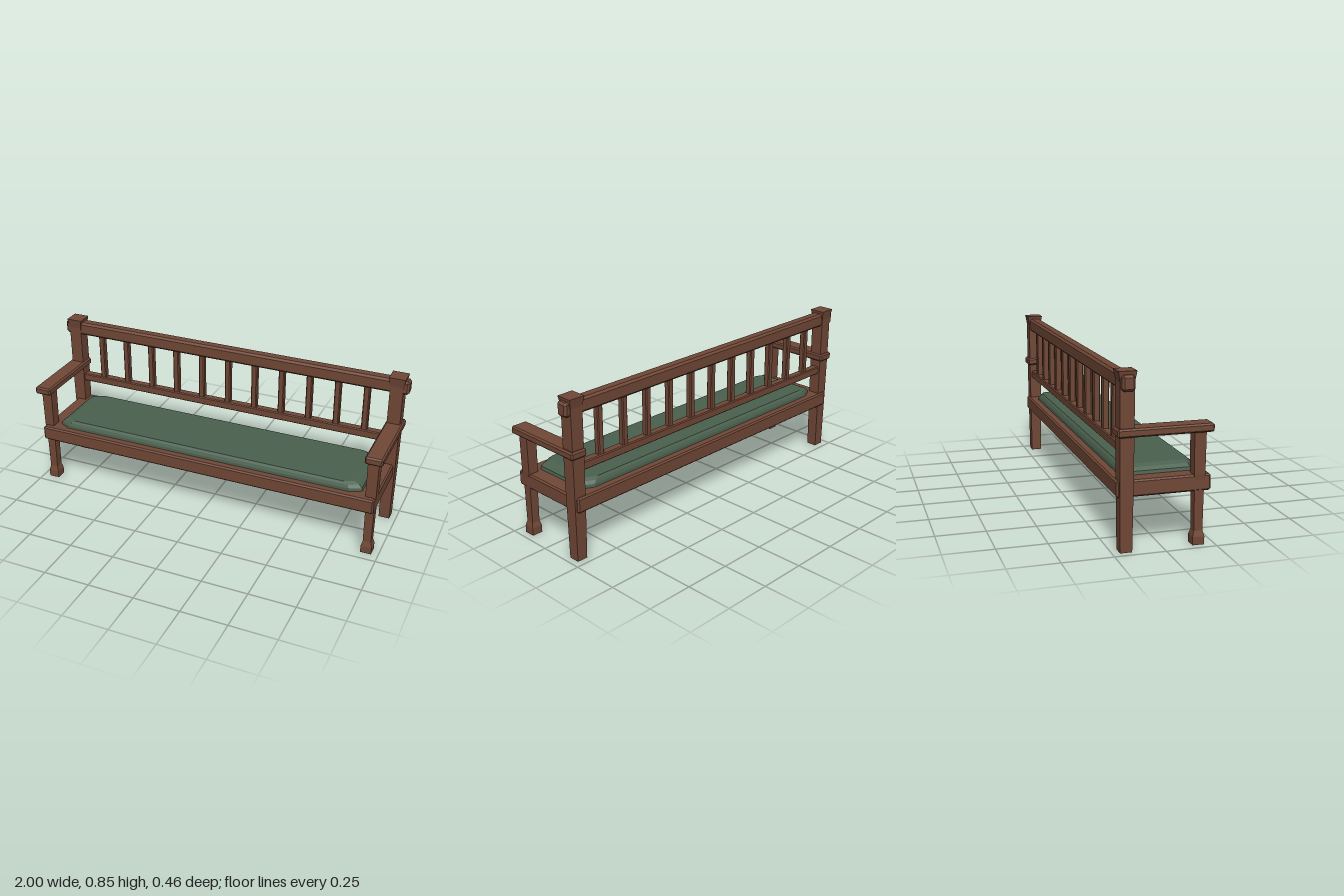
import * as THREE from 'three';
import { ConvexGeometry } from 'three/addons/geometries/ConvexGeometry.js';

// Box with all edges chamfered by c
function chamferBox(w, h, d, c) {
  const pts = [];
  for (const x of [-1, 1]) for (const y of [-1, 1]) for (const z of [-1, 1]) {
    for (let axis = 0; axis < 3; axis++) {
      const cut = [c, c, c];
      cut[axis] = 0;
      pts.push(new THREE.Vector3(x * (w / 2 - cut[0]), y * (h / 2 - cut[1]), z * (d / 2 - cut[2])));
    }
  }
  return new ConvexGeometry(pts);
}

// Rectangle outline in x/z, with corners optionally cut off
function outline(hx, hz, cx, cz) {
  if (!cx) return [[hx, hz], [hx, -hz], [-hx, -hz], [-hx, hz]];
  return [
    [hx - cx, hz], [hx, hz - cz], [hx, cz - hz], [hx - cx, -hz],
    [cx - hx, -hz], [-hx, cz - hz], [-hx, hz - cz], [cx - hx, hz],
  ];
}

// Flat-faced solid through stacked rings [y, halfX, halfZ, cutX, cutZ]
function loft(rings) {
  const loops = rings.map(([y, hx, hz, cx = 0, cz = 0]) => outline(hx, hz, cx, cz).map(([x, z]) => [x, y, z]));
  const n = loops[0].length;
  const pos = [];
  const tri = (a, b, c) => pos.push(...a, ...b, ...c);
  for (let k = 0; k + 1 < loops.length; k++) {
    for (let i = 0; i < n; i++) {
      const j = (i + 1) % n;
      tri(loops[k][i], loops[k][j], loops[k + 1][j]);
      tri(loops[k][i], loops[k + 1][j], loops[k + 1][i]);
    }
  }
  const low = loops[0], high = loops[loops.length - 1];
  for (let i = 1; i + 1 < n; i++) {
    tri(high[0], high[i], high[i + 1]);
    tri(low[0], low[i + 1], low[i]);
  }
  const geo = new THREE.BufferGeometry();
  geo.setAttribute('position', new THREE.Float32BufferAttribute(pos, 3));
  geo.computeVertexNormals();
  return geo;
}

export function createModel() {
  const group = new THREE.Group();
  group.name = 'bench';
  const wood = new THREE.MeshStandardMaterial({ color: 0x704736 });
  wood.name = 'brown wood';
  const fabric = new THREE.MeshStandardMaterial({ color: 0x4a604e });
  fabric.name = 'green fabric';

  const add = (name, geo, mat, x, y, z) => {
    const mesh = new THREE.Mesh(geo, mat);
    mesh.name = name;
    mesh.position.set(x, y, z);
    group.add(mesh);
  };

  // Seat frame and cushion
  add('seatFrame', chamferBox(1.92, 0.08, 0.458, 0.008), wood, 0, 0.302, 0);
  add('cushion', loft([
    [0.335, 0.882, 0.188, 0.06, 0.03],
    [0.358, 0.877, 0.186, 0.06, 0.03],
    [0.373, 0.86, 0.179, 0.055, 0.028],
    [0.384, 0.835, 0.168, 0.05, 0.025],
  ]), fabric, 0, 0, 0);

  // Posts: tapered back posts with flared caps, front posts with block feet
  const square = ([y, h]) => [y, h, h];
  const backPost = loft([[0, 0.029], [0.3, 0.0325], [0.55, 0.0345], [0.8, 0.035], [0.85, 0.0435]].map(square));
  const frontPost = loft([[0, 0.029], [0.04, 0.029], [0.067, 0.0215], [0.3, 0.0235], [0.345, 0.0275], [0.55, 0.029]].map(square));
  const armrest = chamferBox(0.092, 0.041, 0.464, 0.008);
  for (const [side, s] of [['left', 1], ['right', -1]]) {
    add(side + 'BackPost', backPost, wood, s * 0.9375, 0, -0.1845);
    add(side + 'FrontPost', frontPost, wood, s * 0.935, 0, 0.171);
    add(side + 'Armrest', armrest, wood, s * 0.941, 0.5675, 0);
  }

  // Backrest rails and slats
  add('topRail', chamferBox(2, 0.074, 0.063, 0.011), wood, 0, 0.797, -0.1845);
  add('lowerRail', chamferBox(1.83, 0.044, 0.045, 0.005), wood, 0, 0.487, -0.1845);
  const slat = chamferBox(0.033, 0.27, 0.035, 0.005);
  for (let i = 0; i < 11; i++) {
    add('backSlat', slat, wood, (i - 5) * 0.1562, 0.635, -0.1845);
  }
  return group;
}
